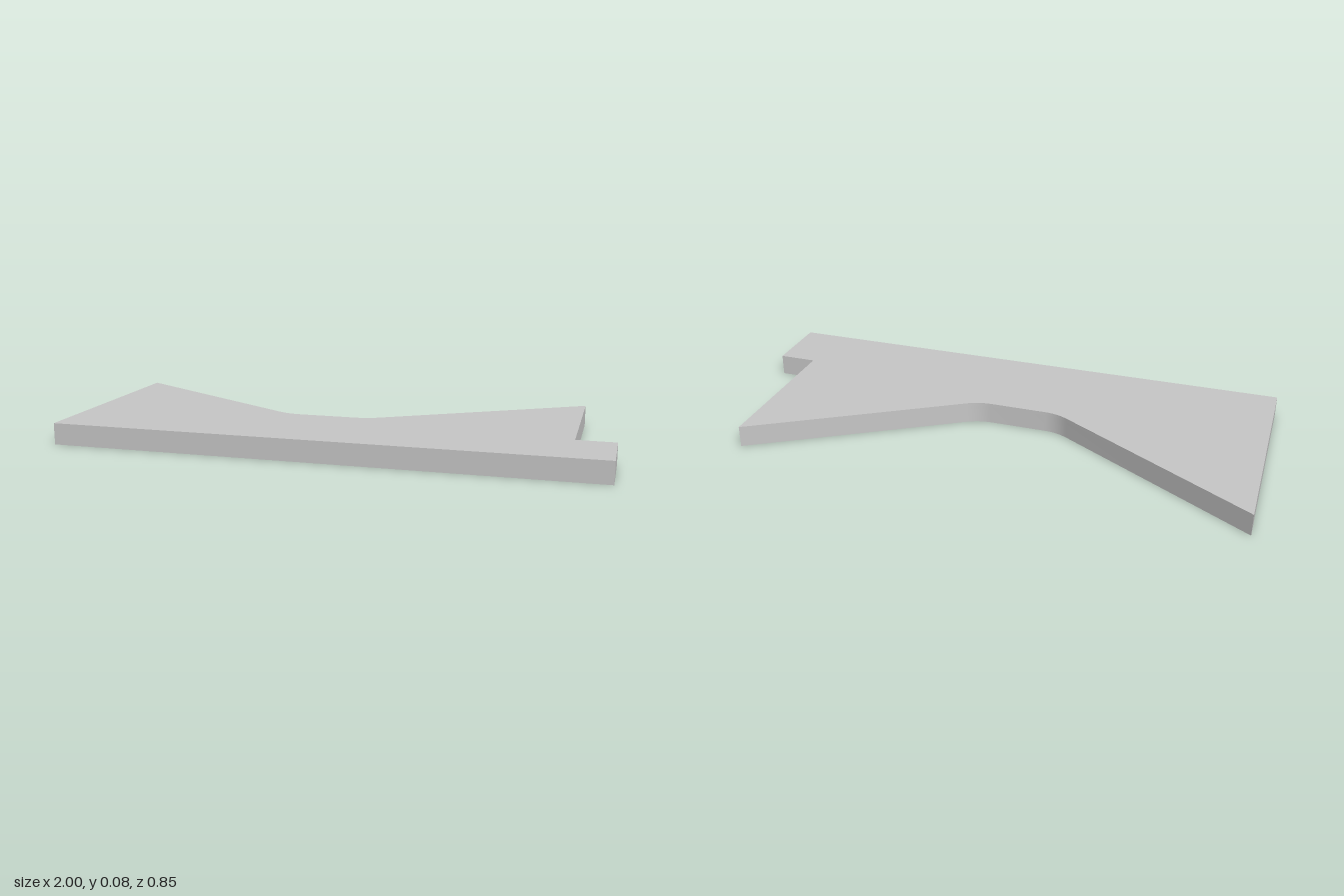
import * as THREE from 'three';
import { toCreasedNormals } from 'three/addons/utils/BufferGeometryUtils.js';

const HEIGHT = 0.08, SKIN = 0.012, EDGE = 0.427;

// Plan outline in (x, z), clockwise, with rounded inner corners at the waist
function planOutline() {
  const v = (x, z) => new THREE.Vector2(x, z);
  const backLeft = v(0.857, -EDGE), backRight = v(-1, -EDGE);
  const waistLeft = v(0.084, 0.033), waistRight = v(-0.227, 0.033);
  const fillet = (from, corner, to, r = 0.05) => {
    const a = from.clone().sub(corner).setLength(r).add(corner);
    const b = to.clone().sub(corner).setLength(r).add(corner);
    return new THREE.QuadraticBezierCurve(a, corner, b).getPoints(8);
  };
  return [
    v(-1, EDGE), v(1, EDGE), v(1, 0.172), v(0.857, 0.172), backLeft,
    ...fillet(backLeft, waistLeft, waistRight),
    ...fillet(waistLeft, waistRight, backRight),
    backRight,
  ];
}

// Move every side of the outline inwards by t, with mitred corners
function inset(points, t) {
  const n = points.length;
  const inward = (a, b) => {
    const d = b.clone().sub(a).normalize();
    return new THREE.Vector2(d.y, -d.x);
  };
  return points.map((p, i) => {
    const n1 = inward(points[(i + n - 1) % n], p);
    const n2 = inward(p, points[(i + 1) % n]);
    return n1.clone().add(n2).multiplyScalar(t / (1 + n1.dot(n2))).add(p);
  });
}

// Extrude a plan shape downwards from y = top
function slab(shape, top, depth) {
  const geometry = new THREE.ExtrudeGeometry(shape, { depth, bevelEnabled: false });
  geometry.rotateX(Math.PI / 2).translate(0, top, 0);
  return toCreasedNormals(geometry, 0.3);
}

export function createModel() {
  const model = new THREE.Group();
  model.name = 'coverPanel';
  const grey = new THREE.MeshStandardMaterial({ color: 0xc8c8c8 });
  grey.name = 'grey';

  const add = (name, geometry) => {
    const mesh = new THREE.Mesh(geometry, grey);
    mesh.name = name;
    model.add(mesh);
    return mesh;
  };

  const outline = planOutline();

  // Top plate
  add('topPlate', slab(new THREE.Shape(outline), HEIGHT, SKIN));

  // Thin rim hanging from the plate, open below; the hole runs the opposite way round
  const rim = new THREE.Shape(outline);
  rim.holes.push(new THREE.Path(inset(outline, SKIN).reverse()));
  add('rimWall', slab(rim, HEIGHT - SKIN, HEIGHT - SKIN));

  // Mounting pins under the plate
  const pinHeight = HEIGHT - SKIN;
  const pin = new THREE.CylinderGeometry(0.017, 0.017, pinHeight, 24);
  [-0.889, -0.072, 0.745].forEach((x, i) => {
    add('mountingPin' + (i + 1), pin).position.set(x, pinHeight / 2, 0.3);
  });

  return model;
}
